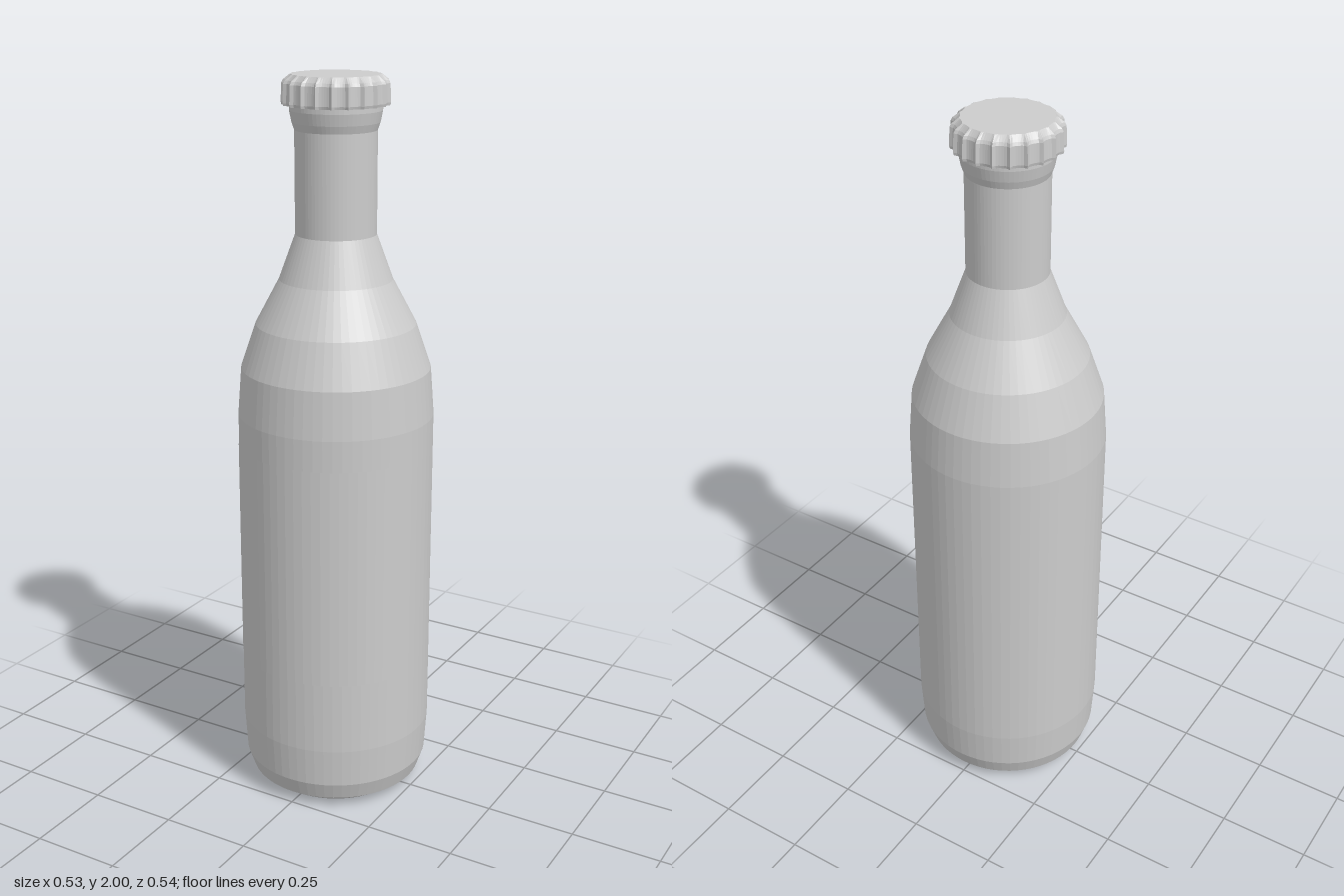
import * as THREE from 'three';

const SEGMENTS = 64;
const TEETH = 21;

// Gives every face its own flat normal
function faceted(geometry) {
  const flat = geometry.index ? geometry.toNonIndexed() : geometry;
  flat.computeVertexNormals();
  return flat;
}

// Crimped cap: loops of [valley radius, tooth height, y], from underside to top
function crimpedCap(loops) {
  const tooth = [1, 0.25, 0.05, 0, 0.05, 0.25]; // one tooth and the scallop beside it
  const count = TEETH * tooth.length;
  const positions = [];
  const index = [];
  loops.forEach(([radius, height, y]) => {
    for (let i = 0; i < count; i++) {
      const a = Math.PI + (i / count) * Math.PI * 2;
      const r = radius + height * tooth[i % tooth.length];
      positions.push(Math.sin(a) * r, y, Math.cos(a) * r);
    }
  });
  for (let k = 0; k < loops.length - 1; k++) {
    for (let i = 0; i < count; i++) {
      const a = k * count + i;
      const b = k * count + ((i + 1) % count);
      index.push(a, b, b + count, a, b + count, a + count);
    }
  }
  const geometry = new THREE.BufferGeometry();
  geometry.setAttribute('position', new THREE.Float32BufferAttribute(positions, 3));
  geometry.setIndex(index);
  return faceted(geometry);
}

export function createModel() {
  const grey = new THREE.MeshStandardMaterial({ color: 0xcccccc });
  grey.name = 'lightGrey';
  const bottle = new THREE.Group();
  bottle.name = 'bottle';

  const add = (name, geometry) => {
    const mesh = new THREE.Mesh(geometry, grey);
    mesh.name = name;
    bottle.add(mesh);
    return mesh;
  };

  // Body: base, straight side, sloping shoulder, neck and lip
  const profile = [
    [0, 0], [0.2, 0], [0.243, 0.03], [0.26, 0.08], [0.267, 0.19],
    [0.267, 1.1], [0.257, 1.23], [0.216, 1.35], [0.152, 1.47], [0.108, 1.59],
    [0.108, 1.86], [0.115, 1.88], [0.121, 1.91], [0.121, 1.94], [0, 1.94],
  ].map(([r, y]) => new THREE.Vector2(r, y));
  add('body', faceted(new THREE.LatheGeometry(profile, SEGMENTS)));

  // Label wrapped around the front
  const half = Math.asin(0.24 / 0.268);
  const label = add('label', faceted(new THREE.CylinderGeometry(
    0.2685, 0.2685, 0.62, 24, 1, true, -half, half * 2)));
  label.position.y = 0.705;

  // Cap: flared skirt, bevelled shoulder and flat top
  add('cap', crimpedCap([
    [0, 0, 1.93], [0.118, 0.004, 1.925], [0.13, 0.01, 1.923], [0.132, 0.01, 1.93],
    [0.13, 0.01, 1.978], [0.126, 0.01, 1.986], [0.114, 0.004, 2], [0, 0, 2],
  ]));

  return bottle;
}
